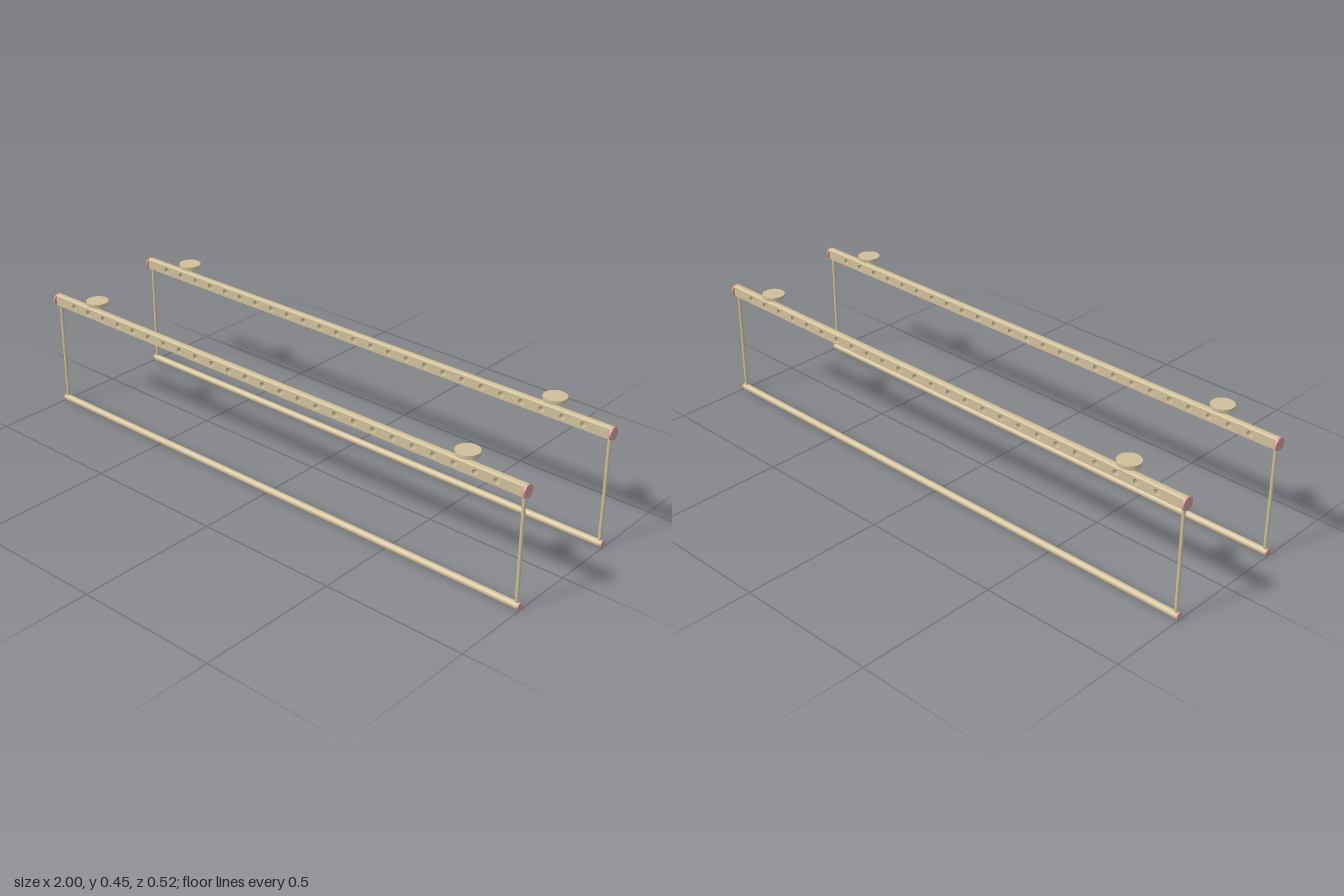
import * as THREE from 'three';

const tan = new THREE.MeshStandardMaterial({ color: 0xd0c09a });
tan.name = 'warm beige';
const pink = new THREE.MeshStandardMaterial({ color: 0xd29a98 });
pink.name = 'dusty pink';

const RAIL_Y = 0.4, RAIL_R = 0.0215, HALF_W = 0.013, BAR_Y = 0.0125, BAR_R = 0.0122;
const CAP = 0.006;

function add(parent, name, geometry, material, x = 0, y = 0, z = 0) {
  const mesh = new THREE.Mesh(geometry, material);
  mesh.name = name;
  mesh.position.set(x, y, z);
  parent.add(mesh);
  return mesh;
}

// Cylinder lying along x
const rodX = (r, length) => new THREE.CylinderGeometry(r, r, length, 32).rotateZ(Math.PI / 2);

// Straight round rod between two points
function rodBetween(a, b, r) {
  return new THREE.TubeGeometry(new THREE.LineCurve3(a, b), 1, r, 12);
}

// Flat-sided rail with a row of through holes and rounded top and bottom
function perforatedRail() {
  const rail = new THREE.Group();
  rail.name = 'perforatedRail';
  const L = 1 - CAP;
  const h = Math.sqrt(RAIL_R ** 2 - HALF_W ** 2);
  const web = new THREE.Shape();
  web.moveTo(-L, -h).lineTo(L, -h).lineTo(L, h).lineTo(-L, h).closePath();
  for (let i = -12; i <= 12; i++) {
    const hole = new THREE.Path();
    hole.absarc(i * 0.075, 0, 0.0105, 0, Math.PI * 2, true);
    web.holes.push(hole);
  }
  const webGeometry = new THREE.ExtrudeGeometry(web, { depth: 2 * HALF_W, bevelEnabled: false, curveSegments: 16 });
  add(rail, 'railWeb', webGeometry.translate(0, 0, -HALF_W), tan);

  const a = Math.atan2(h, HALF_W);
  const crown = new THREE.Shape();
  crown.absarc(0, 0, RAIL_R, a, Math.PI - a, false);
  crown.closePath();
  const crownGeometry = new THREE.ExtrudeGeometry(crown, { depth: 2 * L, bevelEnabled: false, curveSegments: 12 });
  crownGeometry.translate(0, 0, -L).rotateY(Math.PI / 2);
  add(rail, 'railTop', crownGeometry, tan);
  add(rail, 'railBottom', crownGeometry.clone().rotateX(Math.PI), tan);
  return rail;
}

// Ceiling disc with a slanted pin running down to the rail
function ceilingMount(x) {
  const mount = new THREE.Group();
  mount.name = 'ceilingMount';
  mount.position.x = x;
  add(mount, 'mountDisc', new THREE.CylinderGeometry(0.0385, 0.0385, 0.013, 40), tan, 0, 0.4485, 0);
  const low = new THREE.Vector3(-0.012, 0.418, 0), high = new THREE.Vector3(0.006, 0.443, 0);
  add(mount, 'mountPin', rodBetween(low, high, 0.0018), tan);
  add(mount, 'pinCollar', rodBetween(low.clone().lerp(high, 0.45), low.clone().lerp(high, 0.75), 0.0026), tan);
  return mount;
}

function hangingFrame(z) {
  const frame = new THREE.Group();
  frame.name = 'hangingFrame';
  frame.position.z = z;

  const rail = perforatedRail();
  rail.position.y = RAIL_Y;
  frame.add(rail);
  add(frame, 'lowerBar', rodX(BAR_R - 0.0004, 2 - 2 * CAP), tan, 0, BAR_Y, 0);

  for (const side of [-1, 1]) {
    const capX = side * (1 - CAP / 2);
    add(frame, 'railEndCap', rodX(RAIL_R, CAP), pink, capX, RAIL_Y, 0);
    add(frame, 'barEndCap', rodX(BAR_R, CAP), pink, capX, BAR_Y, 0);
    // Upright joining the rail to the lower bar
    const height = RAIL_Y - RAIL_R + 0.003 - BAR_Y;
    add(frame, 'upright', new THREE.CylinderGeometry(0.0058, 0.0058, height, 20), tan,
      side * 0.987, BAR_Y + height / 2, 0);
    frame.add(ceilingMount(side * 0.788));
  }
  return frame;
}

export function createModel() {
  const model = new THREE.Group();
  model.name = 'hangingRails';
  for (const z of [-0.222, 0.222]) model.add(hangingFrame(z));
  return model;
}
